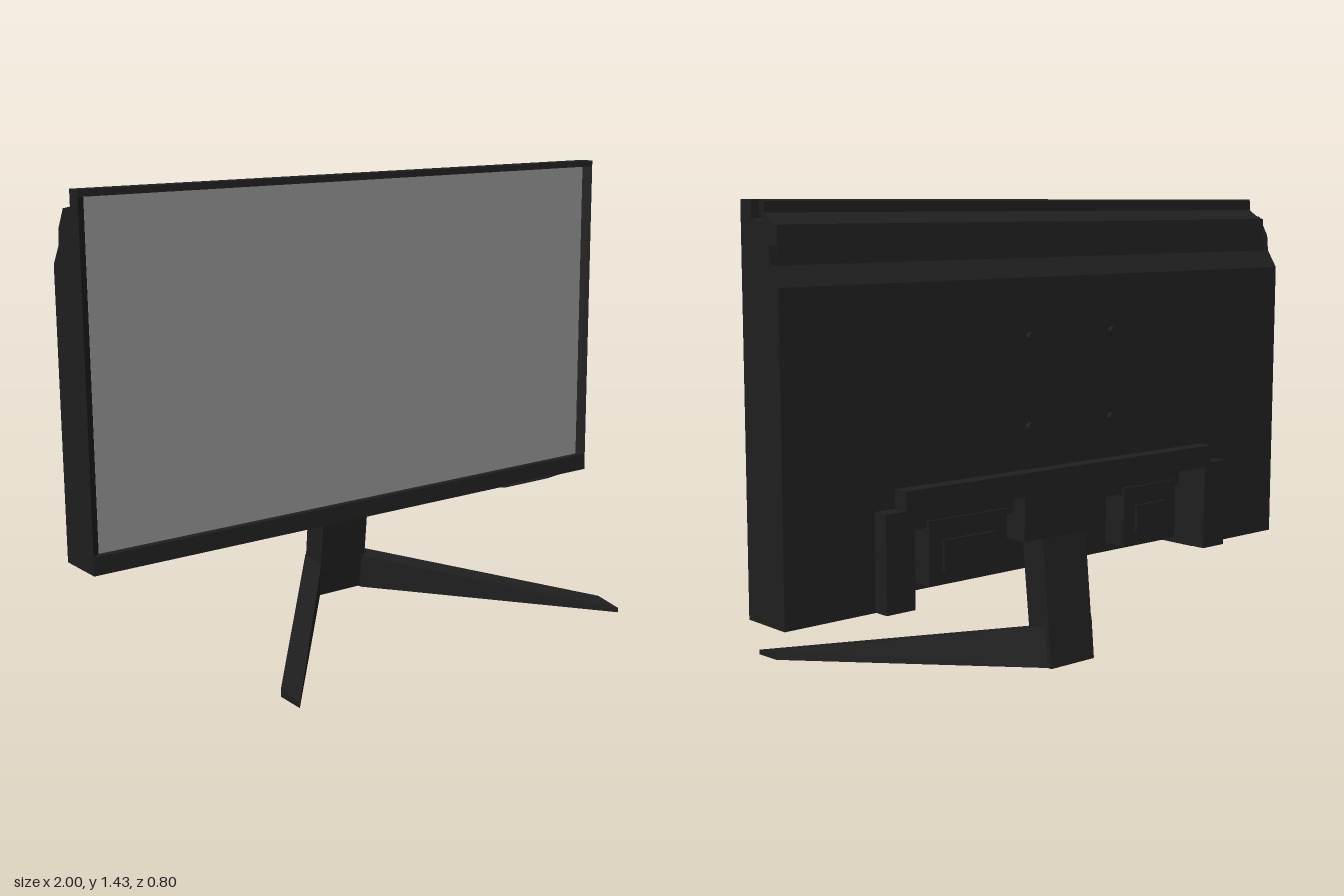
import * as THREE from 'three';
import { ConvexGeometry } from 'three/addons/geometries/ConvexGeometry.js';

const dark = new THREE.MeshStandardMaterial({ color: 0x1f1f1f, flatShading: true });
const grey = new THREE.MeshStandardMaterial({ color: 0x8e8e8e });

function add(group, name, geometry, material = dark) {
  const mesh = new THREE.Mesh(geometry, material);
  mesh.name = name;
  group.add(mesh);
}

// Box given by its limits on each axis
function box(x0, x1, y0, y1, z0, z1) {
  return new THREE.BoxGeometry(x1 - x0, y1 - y0, z1 - z0)
    .translate((x0 + x1) / 2, (y0 + y1) / 2, (z0 + z1) / 2);
}

// Solid spanned by a few corner points
const hull = (points) => new ConvexGeometry(points.map((p) => new THREE.Vector3(...p)));

// Side profile of [z, y] points, swept from x0 to x1
function sweep(profile, x0, x1) {
  const shape = new THREE.Shape(profile.map(([z, y]) => new THREE.Vector2(z, y)));
  return new THREE.ExtrudeGeometry(shape, { depth: x1 - x0, bevelEnabled: false })
    .rotateY(-Math.PI / 2).translate(x1, 0, 0);
}

export function createModel() {
  const model = new THREE.Group();
  model.name = 'monitor';

  // Casing: stepped top at the back, a port bay in the middle, lower steps at the ends
  const slope = [[-0.35, 1.205], [-0.315, 1.26]];
  const top = [
    ...slope, [-0.31, 1.365], [-0.285, 1.372],
    [-0.253, 1.395], [-0.253, 1.425], [-0.23, 1.43], [-0.205, 1.43],
  ];
  const endTop = [...slope, [-0.31, 1.31], [-0.275, 1.372], [-0.23, 1.38], [-0.23, 1.43], [-0.205, 1.43]];
  const base = [[-0.205, 0.302], [-0.35, 0.302]];
  const bay = [[-0.205, 0.302], [-0.22, 0.302], [-0.22, 0.5], [-0.29, 0.5], [-0.29, 0.57], [-0.35, 0.57]];
  add(model, 'casingMiddle', sweep([...bay, ...top], -0.6, 0.6));
  add(model, 'casingLeft', sweep([...base, ...top], 0.6, 0.975));
  add(model, 'casingRight', sweep([...base, ...top], -0.975, -0.6));
  add(model, 'casingEndLeft', sweep([...base, ...endTop], 0.975, 1));
  add(model, 'casingEndRight', sweep([...base, ...endTop], -1, -0.975));

  // Flat upper and lower bezel, side bezels sloping in to the screen
  add(model, 'bezelTop', box(-1, 1, 1.41, 1.43, -0.205, -0.18));
  add(model, 'bezelBottom', box(-1, 1, 0.302, 0.36, -0.205, -0.18));
  for (const [outer, inner] of [[-1, -0.97], [1, 0.975]]) {
    const wedge = [];
    for (const y of [0.36, 1.41]) {
      wedge.push([outer, y, -0.18], [outer, y, -0.205], [inner, y, -0.205]);
    }
    add(model, 'bezelSide', hull(wedge));
  }
  add(model, 'screen', box(-0.97, 0.975, 0.36, 1.41, -0.21, -0.203), grey);

  // Thin control lip on the lower front edge
  const lip = [];
  for (const y of [0.302, 0.306]) {
    lip.push([0.57, y, -0.185], [0.9, y, -0.185], [0.6, y, -0.167], [0.8, y, -0.167]);
  }
  add(model, 'controlLip', hull(lip));

  // Raised cover around the port bay
  add(model, 'coverTop', box(-0.63, 0.63, 0.57, 0.64, -0.4, -0.34));
  for (const x of [-0.7, 0.6]) {
    add(model, 'coverSide', box(x, x + 0.1, 0.303, 0.585, -0.4, -0.34));
  }

  // Blocks inside the port bay
  add(model, 'standHub', box(-0.2, 0.14, 0.42, 0.572, -0.345, -0.215));
  for (const [x0, x1] of [[0.17, 0.47], [-0.57, -0.33]]) {
    add(model, 'portBlock', box(x0, x1, 0.33, 0.52, -0.3, -0.215));
    add(model, 'portPanel', box(x0 + 0.05, x1 - 0.05, 0.37, 0.46, -0.31, -0.295));
  }

  // Four mounting screws
  for (const x of [-0.21, 0.13]) {
    for (const y of [0.767, 1.033]) {
      add(model, 'mountScrew', new THREE.CylinderGeometry(0.013, 0.013, 0.03, 8)
        .rotateX(Math.PI / 2).translate(x, y, -0.35));
    }
  }

  // Neck, leaning back towards the floor
  add(model, 'neck', sweep([[-0.292, 0.022], [-0.38, 0.022], [-0.33, 0.5], [-0.238, 0.5]], -0.12, 0.06));

  // Two splayed legs tapering to the tips, mirrored about the neck
  const middle = -0.038;
  const plan = [[0.085, -0.378], [0.085, -0.285], [0.635, 0.4], [0.635, 0.305]];
  for (const s of [-1, 1]) {
    const corners = [];
    for (const [x, z] of plan) {
      const t = (z + 0.378) / 0.778;
      // the rear end leans with the neck
      corners.push([middle + s * x, 0.022 * (1 - t), z]);
      corners.push([middle + s * x, 0.15 - 0.135 * t, z + 0.012 * (1 - t)]);
    }
    add(model, s > 0 ? 'legLeft' : 'legRight', hull(corners));
  }
  return model;
}
